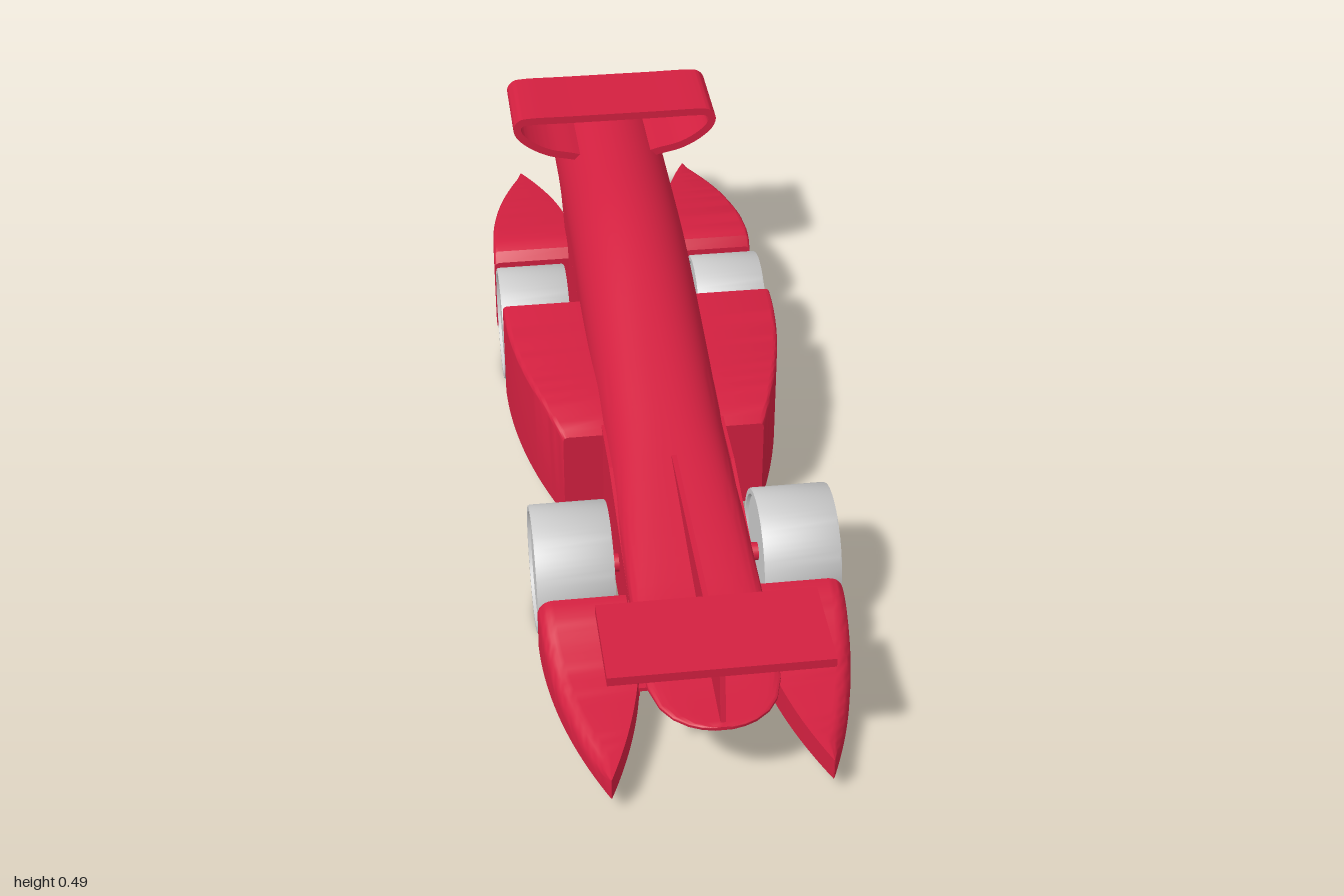
import * as THREE from 'three';
import { toCreasedNormals } from 'three/addons/utils/BufferGeometryUtils.js';

const red = new THREE.MeshStandardMaterial({ color: 0xd32040, side: THREE.DoubleSide });
const grey = new THREE.MeshStandardMaterial({ color: 0xcccccc, side: THREE.DoubleSide });
const lerp = THREE.MathUtils.lerp;

// piecewise linear/smooth lookup: list of [z, value] with z falling
function profile(list, z) {
  for (let i = 0; i < list.length - 1; i++) {
    const [z0, a] = list[i], [z1, b] = list[i + 1];
    if (z >= z1) return lerp(a, b, THREE.MathUtils.clamp((z0 - z) / (z0 - z1), 0, 1));
  }
  return list[list.length - 1][1];
}

// skin over sections that run front to back, each [z, points anticlockwise from the front]
function loft(sections, crease = 0.6) {
  const pos = [], index = [], n = sections[0][1].length, last = sections.length - 1;
  for (const [z, pts] of sections) for (const [x, y] of pts) pos.push(x, y, z);
  for (let i = 0; i < last; i++) for (let j = 0; j < n; j++) {
    const k = (j + 1) % n, a = i * n + j, b = i * n + k, c = b + n, d = a + n;
    index.push(a, d, b, b, d, c);
  }
  for (const [row, front] of [[0, true], [last, false]]) {
    const [z, pts] = sections[row], centre = pos.length / 3;
    const sum = pts.reduce((s, p) => [s[0] + p[0], s[1] + p[1]], [0, 0]);
    pos.push(sum[0] / n, sum[1] / n, z);
    for (let j = 0; j < n; j++) {
      const a = row * n + j, b = row * n + (j + 1) % n;
      front ? index.push(centre, a, b) : index.push(centre, b, a);
    }
  }
  const g = new THREE.BufferGeometry();
  g.setAttribute('position', new THREE.Float32BufferAttribute(pos, 3));
  g.setIndex(index);
  return toCreasedNormals(g, crease);
}

// arched body section: q squares the top, p squares the underside
function bodySection(w, top, spring, bottom, q, p) {
  const pts = [], pw = (v, e) => Math.sign(v) * Math.pow(Math.abs(v), e);
  for (let i = 0; i < 64; i++) {
    const a = (i / 64) * Math.PI * 2, c = Math.cos(a), s = Math.sin(a);
    const e = i <= 32 ? q : p;
    const cx = Math.abs(c) < 1e-9 ? 0 : pw(c, e), sy = Math.abs(s) < 1e-9 ? 0 : pw(s, e);
    pts.push([w * cx, spring + sy * (i <= 32 ? top - spring : spring - bottom)]);
  }
  return pts;
}

function bodyGeometry() {
  const crown = [[1, 0.182], [0.9, 0.187], [0.67, 0.212], [0.3, 0.283], [0, 0.345], [-0.2, 0.388],
    [-0.3, 0.407], [-0.4, 0.42], [-0.5, 0.425], [-1, 0.425]];
  const zs = [0.995, 0.99, 0.98, 0.96, 0.93];
  for (let z = 0.88; z > -0.95; z -= 0.05) zs.push(z);
  const sections = zs.map(z => {
    const nose = Math.max(0, (z - 0.75) / 0.246);
    const w = 0.125 * Math.sqrt(1 - nose ** 4), top = profile(crown, z);
    const spring = Math.max(0.178, top - 0.125);
    const q = profile([[0.9, 0.45], [-0.3, 1]], z), p = profile([[-0.6, 0.06], [-0.75, 1]], z);
    return [z, bodySection(w, top, spring, 0.175, q, p)];
  });
  // rounded tail lip, then the inside of the bore
  for (const [z, r] of [[-0.96, 0.125], [-0.98, 0.122], [-0.994, 0.115], [-1, 0.106], [-0.995, 0.1], [-0.55, 0.1]])
    sections.push([z, bodySection(r, 0.3 + r, 0.3, 0.3 - r, 1, 1)]);
  return loft(sections, 0.7);
}

// pod section with a rounded outer top edge, on either side
function podSection(side, xi, xo, yb, yt, r) {
  r = Math.min(r, (xo - xi) * 0.6, (yt - yb) * 0.6);
  const pts = [[xi, yb], [xo, yb]];
  for (let i = 0; i <= 6; i++) {
    const a = (i / 6) * Math.PI / 2;
    pts.push([xo - r + r * Math.cos(a), yt - r + r * Math.sin(a)]);
  }
  pts.push([xi, yt]);
  return side > 0 ? pts : pts.map(([x, y]) => [-x, y]).reverse();
}

function pod(side, z0, z1, steps, rule) {
  const sections = [];
  for (let i = 0; i <= steps; i++) {
    const z = lerp(z0, z1, i / steps);
    sections.push([z, podSection(side, ...rule(z))]);
  }
  return loft(sections);
}

// lens-shaped plan of the end fairings, t = 1 at the tip
const lens = t => {
  const b = 0.093 * (1 - t * t) + 0.001;
  return [Math.max(0.118, 0.2 - b), 0.2 + b];
};
const frontTop = [[1, 0.083], [0.9, 0.088], [0.8, 0.096], [0.74, 0.105], [0.68, 0.122], [0.63, 0.14], [0.6, 0.148], [0.58, 0.148]];
const rearTop = [[-0.545, 0.205], [-0.56, 0.226], [-0.585, 0.234], [-0.65, 0.232], [-0.8, 0.21], [-1, 0.175]];
const sideTop = [[0.18, 0.232], [0.14, 0.245], [0.08, 0.255], [0.02, 0.258], [-0.28, 0.258]];

function extrude(shape, depth) {
  return new THREE.ExtrudeGeometry(shape, { depth, bevelEnabled: false, curveSegments: 32 });
}
const poly = pts => new THREE.Shape(pts.map(p => new THREE.Vector2(p[0], p[1])));

// ribbon of even thickness bent along a curve in the x-y plane
function loopWing(depth) {
  const half = [[0.07, 0.383], [0.1, 0.392], [0.15, 0.404], [0.19, 0.425], [0.217, 0.45], [0.223, 0.47], [0.213, 0.483], [0.195, 0.486], [0.1, 0.486]];
  const all = [...half, ...half.slice().reverse().map(([x, y]) => [-x, y])];
  const curve = new THREE.CatmullRomCurve3(all.map(p => new THREE.Vector3(p[0], p[1], 0)), false, 'centripetal');
  const outer = [], inner = [];
  for (let i = 0; i <= 120; i++) {
    const p = curve.getPoint(i / 120), t = curve.getTangent(i / 120), h = 0.0085;
    outer.push([p.x + t.y * h, p.y - t.x * h]);
    inner.unshift([p.x - t.y * h, p.y + t.x * h]);
  }
  return toCreasedNormals(extrude(poly([...outer, ...inner]), depth), 0.6);
}

function wheelGeometry() {
  const pts = [[0, -0.069], [0.11, -0.069], [0.113, -0.075], [0.123, -0.075], [0.125, -0.072],
    [0.125, 0.072], [0.123, 0.075], [0.113, 0.075], [0.11, 0.069], [0, 0.069]];
  const g = new THREE.LatheGeometry(pts.map(p => new THREE.Vector2(...p)), 64);
  return toCreasedNormals(g.rotateZ(Math.PI / 2), 0.6);
}

export function createModel() {
  const model = new THREE.Group();
  const add = (name, geometry, material, x = 0, y = 0, z = 0) => {
    const m = new THREE.Mesh(geometry, material);
    m.name = name;
    m.position.set(x, y, z);
    model.add(m);
    return m;
  };
  add('body', bodyGeometry(), red);

  // front wing on its thin upright fin
  add('frontWing', new THREE.BoxGeometry(0.404, 0.018, 0.195), red, 0, 0.282, 0.867);
  const fin = extrude(poly([[0.33, 0.27], [0.33, 0.282], [0.962, 0.282], [0.985, 0.178], [0.75, 0.18]]), 0.01);
  add('frontWingFin', fin.rotateY(-Math.PI / 2), red, 0.005);

  add('rearWing', loopWing(0.195), red, 0, 0, -0.88);

  // thin walls under the body
  const wall = extrude(poly([[0.74, 0.035], [0.74, 0.1], [0.68, 0.122], [0.64, 0.15], [0.62, 0.18], [0.5, 0.2],
    [0.3, 0.24], [-0.6, 0.24], [-0.64, 0.18], [-0.66, 0.035]]), 0.007).rotateY(-Math.PI / 2);
  const wheel = wheelGeometry();
  const pin = new THREE.CylinderGeometry(0.018, 0.018, 0.05, 24).rotateZ(Math.PI / 2);

  for (const side of [1, -1]) {
    const s = side > 0 ? 'left' : 'right';
    add(s + 'Wall', wall, red, side > 0 ? 0.125 : -0.118);
    add(s + 'FrontFairing', pod(side, 1, 0.58, 28, z => {
      const t = (z - 0.58) / 0.42;
      return [...lens(t), 0.035 + 0.003 * t * t, profile(frontTop, z), 0.03];
    }), red);
    add(s + 'RearFairing', pod(side, -0.545, -1, 30, z => {
      const t = (-0.545 - z) / 0.455;
      return [...lens(t), 0.035 + 0.025 * t * t, profile(rearTop, z), 0.012];
    }), red);
    add(s + 'SidePod', pod(side, 0.18, -0.28, 24, z => {
      const t = (z + 0.28) / 0.46;
      return [0.12, 0.293 - 0.088 * t * t, 0.035, profile(sideTop, z), 0.01];
    }), red);
    for (const [end, z] of [['Front', 0.455], ['Rear', -0.415]]) {
      add(s + end + 'Wheel', wheel, grey, side * 0.218, 0.126, z);
      add(s + end + 'AxlePin', pin, red, side * 0.133, 0.126, z);
    }
  }

  // line guides held between the fairings
  const ring = new THREE.Shape().absarc(0, 0, 0.032, 0, Math.PI * 2);
  ring.holes.push(new THREE.Path().absarc(0, 0, 0.021, 0, Math.PI * 2, true));
  const ringGeo = toCreasedNormals(extrude(ring, 0.056), 0.6).translate(0, 0, -0.028);
  const sleeve = new THREE.CylinderGeometry(0.034, 0.034, 0.052, 40, 1, true).rotateX(Math.PI / 2);
  for (const [end, z] of [['front', 0.735], ['rear', -0.765]]) {
    add(end + 'GuideRing', ringGeo, grey, 0, 0.069, z);
    add(end + 'GuideSleeve', sleeve, red, 0, 0.069, z);
    add(end + 'GuidePost', new THREE.BoxGeometry(0.01, 0.08, 0.05), red, 0, 0.141, z);
    for (const side of [1, -1])
      add(end + 'GuideStrut', new THREE.BoxGeometry(0.108, 0.008, 0.05), red, side * 0.086, 0.069, z);
  }
  return model;
}
